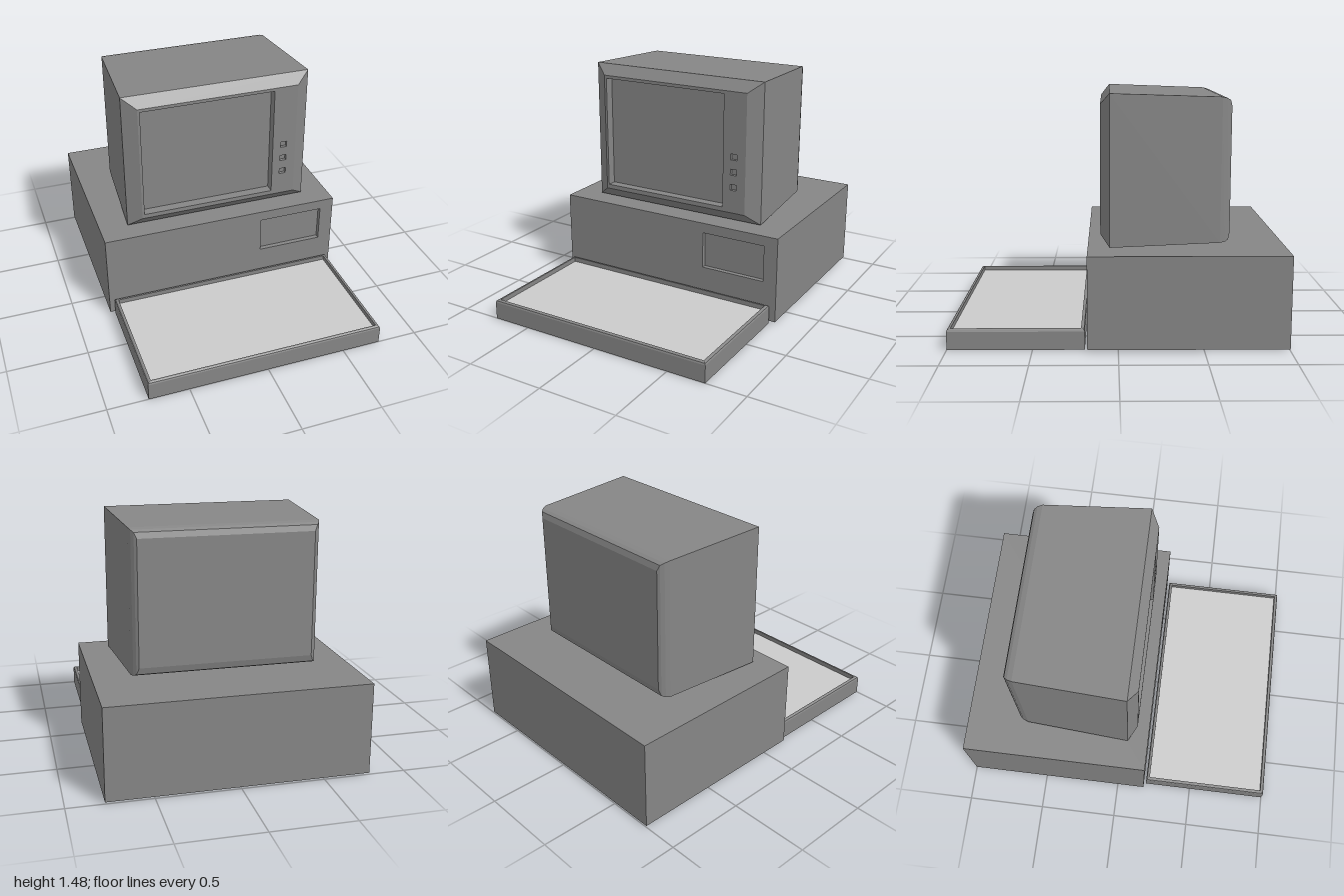
import * as THREE from 'three';

const body = new THREE.MeshStandardMaterial({ color: 0x868686, flatShading: true });
const light = new THREE.MeshStandardMaterial({ color: 0xcccccc, flatShading: true });

// A ring is a rectangle [x0, x1, y0, y1] at depth z, corners counter-clockwise from +z
const corners = ([x0, x1, y0, y1], z) => [[x0, y0, z], [x1, y0, z], [x1, y1, z], [x0, y1, z]];
const inset = ([x0, x1, y0, y1], d) => [x0 + d, x1 - d, y0 + d, y1 - d];

// Skin a list of [rectangle, z] rings, optionally closing either end
function loft(rings, { start = false, end = false } = {}) {
  const pos = [];
  const quad = (a, b, c, d) => pos.push(...a, ...b, ...c, ...a, ...c, ...d);
  const pts = rings.map(([rect, z]) => corners(rect, z));
  for (let k = 0; k < pts.length - 1; k++) {
    for (let i = 0; i < 4; i++) {
      const j = (i + 1) % 4;
      quad(pts[k][i], pts[k][j], pts[k + 1][j], pts[k + 1][i]);
    }
  }
  if (start) quad(...[...pts[0]].reverse());
  if (end) quad(...pts[pts.length - 1]);
  const geo = new THREE.BufferGeometry();
  geo.setAttribute('position', new THREE.Float32BufferAttribute(pos, 3));
  geo.computeVertexNormals();
  return geo;
}

// Flat rectangular face at depth z with rectangular openings
function face(rect, z, openings) {
  const loop = (r) => corners(r, 0).map(([x, y]) => new THREE.Vector2(x, y));
  const shape = new THREE.Shape(loop(rect));
  for (const o of openings) shape.holes.push(new THREE.Path(loop(o).reverse()));
  return new THREE.ShapeGeometry(shape).translate(0, 0, z);
}

// Sunken walls and floor behind an opening
const pocket = (rect, z, depth) => loft([[rect, z], [rect, z - depth]], { end: true });

function add(group, name, geo, material = body) {
  const mesh = new THREE.Mesh(geo, material);
  mesh.name = name;
  group.add(mesh);
  return mesh;
}

function part(parent, name) {
  const group = new THREE.Group();
  group.name = name;
  parent.add(group);
  return group;
}

export function createModel() {
  const model = new THREE.Group();
  model.name = 'desktopComputer';

  // Main case with a drive bay in its front
  const unit = part(model, 'systemUnit');
  const unitRect = [-0.78, 0.78, 0.01, 0.565];
  const bay = [0.265, 0.69, 0.265, 0.5];
  add(unit, 'caseShell', loft([[unitRect, -1], [unitRect, 0.18]], { start: true }));
  add(unit, 'caseFront', face(unitRect, 0.18, [bay]));
  add(unit, 'driveBay', pocket(bay, 0.18, 0.03));

  // Monitor tapering to the back, with softened back edges and a bevelled front
  const monitor = part(model, 'monitor');
  const bezel = [-0.515, 0.515, 0.64, 1.41];
  add(monitor, 'monitorShell', loft([
    [[-0.52, 0.52, 0.65, 1.4], -0.665],
    [[-0.535, 0.535, 0.61, 1.435], -0.655],
    [[-0.55, 0.55, 0.6, 1.447], -0.635],
    [[-0.56, 0.56, 0.595, 1.455], -0.605],
    [[-0.602, 0.602, 0.575, 1.477], 0.05],
    [bezel, 0.105],
  ], { start: true }));
  const screen = [-0.5, 0.36, 0.668, 1.39];
  const buttons = [0.788, 0.886, 0.984].map((y) => [0.412, 0.455, y, y + 0.038]);
  add(monitor, 'bezel', face(bezel, 0.105, [screen, ...buttons]));
  add(monitor, 'screen', pocket(screen, 0.105, 0.06));
  buttons.forEach((b, i) => add(monitor, `button${i + 1}`, pocket(b, 0.105, 0.02)));

  // Keyboard, made facing +z and then laid on its back
  const keyboard = part(model, 'keyboard');
  keyboard.rotation.x = -Math.PI / 2;
  const slab = [-0.75, 0.745, -1, -0.195];
  const rim = inset(slab, 0.012);
  const tray = inset(slab, 0.022);
  add(keyboard, 'keyboardShell', loft([
    [slab, 0], [slab, 0.11], [inset(slab, 0.004), 0.12], [rim, 0.125],
  ], { start: true }));
  add(keyboard, 'keyboardRim', face(rim, 0.125, [tray]));
  add(keyboard, 'trayWalls', loft([[tray, 0.125], [tray, 0.095]]));
  add(keyboard, 'keyPanel', face(tray, 0.095, []), light);

  return model;
}
